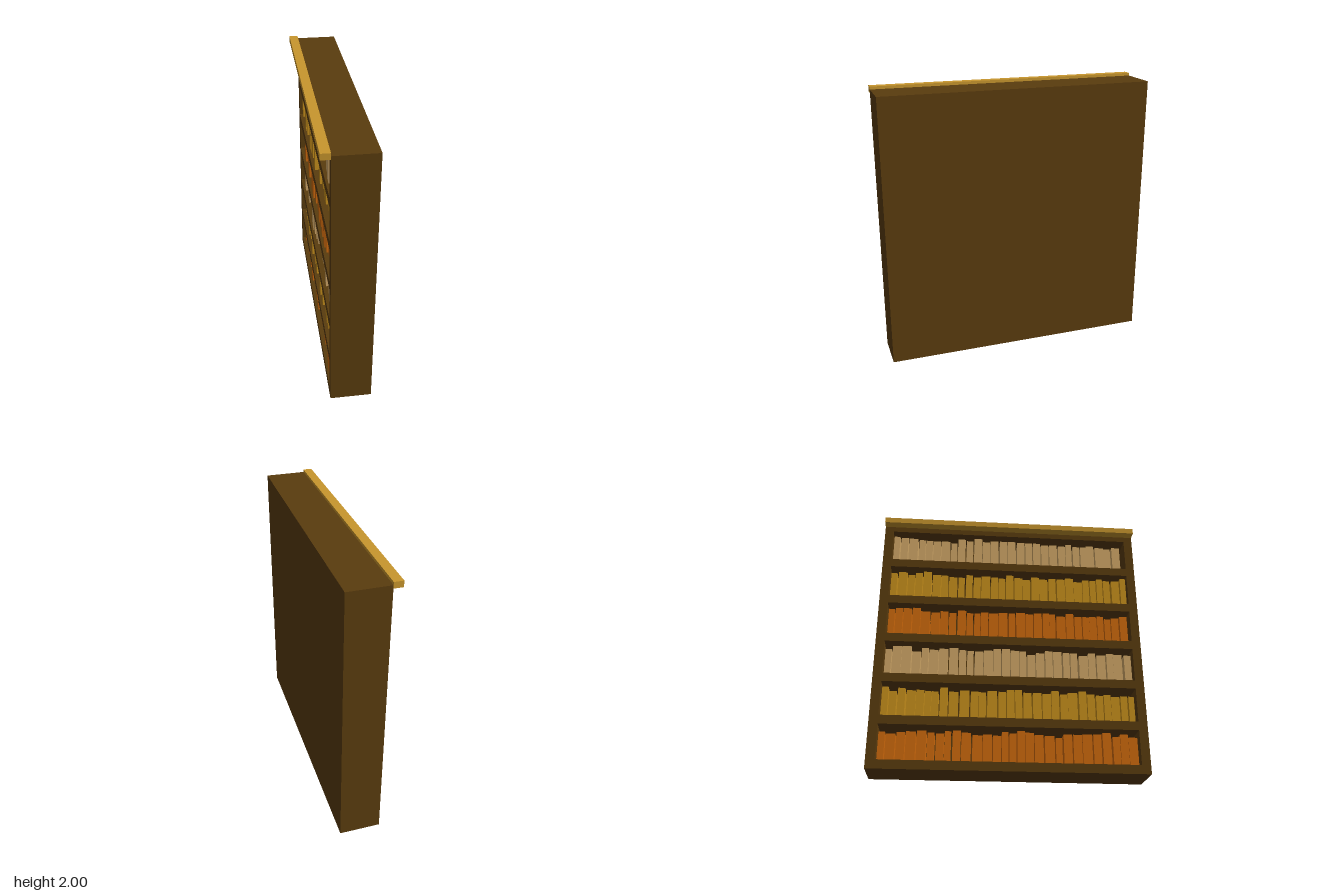
import * as THREE from 'three';

const HALF = 0.99, TOP = 1.98;          // case half width (along z) and height
const FRONT = -0.115, BACK = 0.18;      // open side and back of the case (along x)
const BOARD = 0.065, PANEL = 0.05, ROWS = 6;
const PITCH = (TOP - BOARD) / ROWS, OPEN = PITCH - BOARD;

const mat = (color) => new THREE.MeshStandardMaterial({ color });
const wood = mat(0x5a3c0e), trim = mat(0xc8962d), paper = mat(0xe8dcb0);
const covers = [mat(0xcf6a0c), mat(0xc8901c), mat(0xd2a868)];

// Small seeded generator for the variety of books
function seeded(seed) {
  let s = seed;
  return () => (s = (s * 16807) % 2147483647) / 2147483647;
}

function box(name, material, x0, x1, y0, y1, z0, z1) {
  const mesh = new THREE.Mesh(new THREE.BoxGeometry(x1 - x0, y1 - y0, z1 - z0), material);
  mesh.position.set((x0 + x1) / 2, (y0 + y1) / 2, (z0 + z1) / 2);
  mesh.name = name;
  return mesh;
}

// Rectangle path, used for outlines and holes
function rect(path, x0, y0, x1, y1) {
  path.moveTo(x0, y0);
  path.lineTo(x1, y0);
  path.lineTo(x1, y1);
  path.lineTo(x0, y1);
  path.closePath();
  return path;
}

// Frame of sides and shelves: one board with six openings, extruded in depth
function createFrame() {
  const shape = rect(new THREE.Shape(), -HALF, 0, HALF, TOP);
  for (let r = 0; r < ROWS; r++) {
    const y = BOARD + r * PITCH;
    shape.holes.push(rect(new THREE.Path(), -HALF + BOARD, y, HALF - BOARD, y + OPEN));
  }
  const geo = new THREE.ExtrudeGeometry(shape, { depth: BACK - PANEL - FRONT, bevelEnabled: false });
  geo.rotateY(Math.PI / 2);
  geo.translate(FRONT, 0, 0);
  const mesh = new THREE.Mesh(geo, wood);
  mesh.name = 'frameAndShelves';
  return mesh;
}

// One book, spine towards -x: spine, two cover boards and a page block
function createBook(x, y, z, depth, height, width, cover) {
  const book = new THREE.Group();
  book.name = 'book';
  const t = 0.006, x1 = x + depth, z1 = z + width;
  book.add(
    box('spine', cover, x, x + t, y, y + height, z, z1),
    box('coverBoard', cover, x + t, x1, y, y + height, z, z + t),
    box('coverBoard', cover, x + t, x1, y, y + height, z1 - t, z1),
    box('pages', paper, x + t, x1 - t, y + t, y + height - t / 2, z + t, z1 - t),
  );
  return book;
}

// A shelf filled with books of varied height, thickness and depth
function createRow(r) {
  const row = new THREE.Group();
  row.name = 'bookRow';
  const rand = seeded(101 + r * 977);
  const y = BOARD + r * PITCH, end = HALF - BOARD - 0.01;
  let z = -HALF + BOARD + 0.008;
  while (z < end - 0.04) {
    const width = Math.min(0.045 + rand() * 0.025, end - z);
    const height = OPEN * (0.76 + rand() * 0.16);
    const x = FRONT + 0.015 + rand() * 0.035;
    row.add(createBook(x, y, z, 0.17, height, width, covers[r % 3]));
    z += width + 0.003 + rand() * 0.008;
  }
  return row;
}

export function createModel() {
  const model = new THREE.Group();
  model.name = 'bookcase';
  model.add(
    createFrame(),
    box('backPanel', wood, BACK - PANEL, BACK, 0, TOP, -HALF, HALF),
    box('topRail', trim, -0.18, FRONT, 1.957, 2, -HALF, HALF),
  );
  for (let r = 0; r < ROWS; r++) model.add(createRow(r));
  return model;
}
